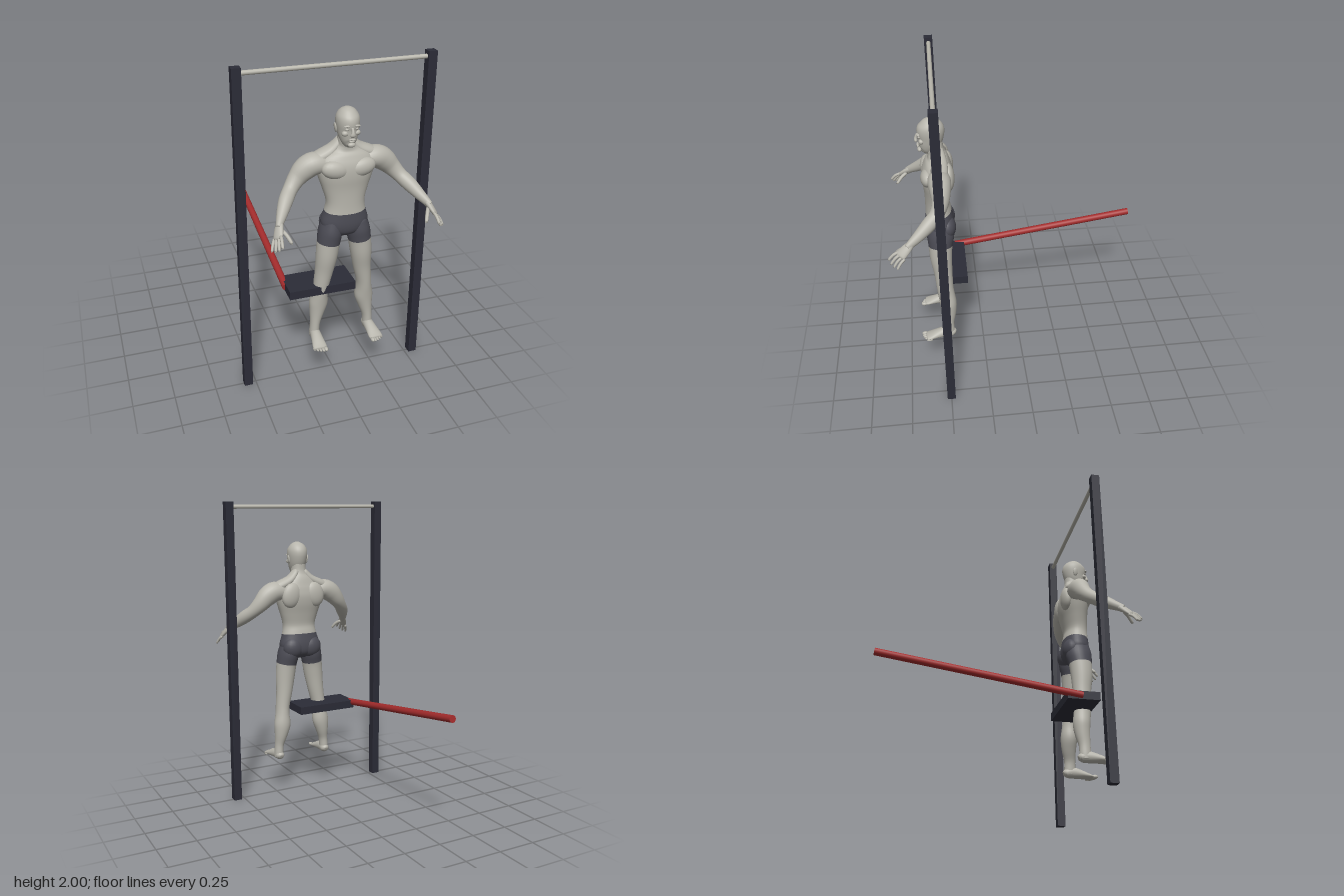
import * as THREE from 'three';

const material = (name, color) => {
  const m = new THREE.MeshStandardMaterial({ color });
  m.name = name;
  return m;
};
const skin = material('skin', 0xb7b5ac);
const shorts = material('shorts', 0x4c4c55);
const frame = material('frame', 0x2b2c37);
const steel = material('steel', 0xb8b6ac);
const red = material('red', 0xa32c2c);

function add(parent, name, geometry, mat, x = 0, y = 0, z = 0) {
  const mesh = new THREE.Mesh(geometry, mat);
  mesh.name = name;
  mesh.position.set(x, y, z);
  parent.add(mesh);
  return mesh;
}

// Smooth closed skin over oval stations [x, y, z, halfWidth, halfDepth].
// bands lists [lastStation, materialIndex] in order along the path.
function loft(stations, side, { sides = 28, steps = 4, power = 1, bands = null } = {}) {
  const path = new THREE.CatmullRomCurve3(stations.map(s => new THREE.Vector3(s[0], s[1], s[2])), false, 'catmullrom', 0.5);
  const size = new THREE.CatmullRomCurve3(stations.map(s => new THREE.Vector3(s[3], s[4], 0)), false, 'catmullrom', 0.5);
  const rows = (stations.length - 1) * steps;
  const pos = [], index = [];
  const soft = v => Math.sign(v) * Math.pow(Math.abs(v), power);
  const ring = (t, scale) => {
    const c = path.getPoint(t), r = size.getPoint(t), tangent = path.getTangent(t);
    const u = side.clone().addScaledVector(tangent, -side.dot(tangent)).normalize();
    const v = tangent.clone().cross(u);
    for (let j = 0; j < sides; j++) {
      const a = j / sides * Math.PI * 2;
      const p = c.clone().addScaledVector(u, soft(Math.cos(a)) * r.x * scale)
        .addScaledVector(v, soft(Math.sin(a)) * r.y * scale);
      pos.push(p.x, p.y, p.z);
    }
  };
  ring(0, 0.001);
  for (let i = 0; i <= rows; i++) ring(i / rows, 1);
  ring(1, 0.001);
  for (let i = 0; i < rows + 2; i++) for (let j = 0; j < sides; j++) {
    const k = (j + 1) % sides, a = i * sides + j, b = i * sides + k;
    index.push(a, b, a + sides, b, b + sides, a + sides);
  }
  const g = new THREE.BufferGeometry();
  g.setAttribute('position', new THREE.Float32BufferAttribute(pos, 3));
  g.setIndex(index);
  if (bands) {
    let start = 0;
    bands.forEach(([last, mat], n) => {
      const end = n === bands.length - 1 ? index.length : (last * steps + 1) * sides * 6;
      g.addGroup(start, end - start, mat);
      start = end;
    });
  }
  g.computeVertexNormals();
  return g;
}

const X = new THREE.Vector3(1, 0, 0);
// Upright sections [y, halfWidth, frontZ, backZ] turned into loft stations
const upright = list => list.map(([y, w, f, b]) => [0, y, (f + b) / 2, w, (f - b) / 2]);

function blob(parent, name, mat, x, y, z, rx, ry, rz, tilt = 0) {
  const mesh = add(parent, name, new THREE.SphereGeometry(1, 20, 14), mat, x, y, z);
  mesh.scale.set(rx, ry, rz);
  mesh.rotation.z = tilt;
}

function buildHead(body) {
  const head = new THREE.Group();
  head.name = 'head';
  body.add(head);
  add(head, 'skull', loft(upright([
    [1.523, .018, .59, .55], [1.54, .038, .6, .51], [1.57, .052, .602, .475], [1.61, .061, .6, .45],
    [1.655, .066, .602, .44], [1.69, .061, .592, .447], [1.72, .04, .565, .475], [1.735, .012, .535, .505],
  ]), X), skin);
  add(head, 'nose', loft([[0, 1.638, .6, .007, .006], [0, 1.615, .608, .009, .009], [0, 1.597, .609, .016, .011], [0, 1.59, .602, .011, .006]], X, { sides: 14 }), skin);
  blob(head, 'upperLip', skin, 0, 1.571, .6, .021, .005, .008);
  blob(head, 'lowerLip', skin, 0, 1.561, .599, .018, .006, .008);
  blob(head, 'chin', skin, 0, 1.537, .591, .022, .014, .014);
  for (const s of [-1, 1]) {
    blob(head, 'brow', skin, s * .026, 1.647, .592, .024, .006, .01, s * -.1);
    blob(head, 'eye', skin, s * .027, 1.629, .588, .012, .006, .01);
    blob(head, 'cheek', skin, s * .034, 1.602, .578, .02, .016, .016);
    blob(head, 'ear', skin, s * .067, 1.62, .512, .007, .029, .016, s * -.15);
  }
}

function buildTorso(body) {
  add(body, 'torso', loft(upright([
    [.95, .04, .53, .46], [.985, .11, .573, .42], [1.04, .142, .588, .412], [1.116, .122, .586, .425],
    [1.18, .115, .583, .437], [1.26, .137, .585, .425], [1.33, .16, .592, .41], [1.39, .172, .59, .405],
    [1.44, .155, .573, .413], [1.48, .1, .555, .427], [1.515, .056, .55, .445], [1.55, .049, .558, .453], [1.6, .046, .56, .455],
  ]), X, { sides: 40, power: .9, bands: [[3, 0], [12, 1]] }), [shorts, skin]);
  for (const s of [-1, 1]) {
    blob(body, 'chestMuscle', skin, s * .077, 1.385, .556, .085, .055, .044, s * .2);
    blob(body, 'shoulderBlade', skin, s * .085, 1.385, .434, .068, .085, .036, s * .25);
    blob(body, 'buttock', shorts, s * .065, 1.025, .46, .074, .075, .056);
    add(body, 'neckMuscle', loft([[s * .025, 1.545, .485, .02, .03], [s * .075, 1.487, .482, .03, .045], [s * .14, 1.452, .485, .035, .05], [s * .2, 1.43, .487, .03, .04]],
      new THREE.Vector3(0, 1, 0), { sides: 20 }), skin);
  }
}

function buildArm(body, s) {
  const arm = new THREE.Group();
  arm.name = s > 0 ? 'leftArm' : 'rightArm';
  body.add(arm);
  add(arm, 'armSkin', loft([
    [.11, 1.4, .49, .055, .06], [.18, 1.412, .49, .066, .068], [.235, 1.385, .488, .067, .062], [.285, 1.335, .492, .054, .05],
    [.33, 1.285, .518, .043, .042], [.37, 1.244, .566, .043, .041], [.408, 1.2, .624, .034, .032], [.438, 1.165, .675, .025, .021],
    [.446, 1.152, .69, .024, .018],
  ].map(([x, ...r]) => [s * x, ...r]), new THREE.Vector3(0, 1, 0)), skin);

  // Palm spread along the knuckle line
  const across = new THREE.Vector3(s * .03, -.025, -.03).normalize();
  add(arm, 'palm', loft([
    [s * .436, 1.168, .671, .022, .019], [s * .45, 1.143, .7, .03, .017], [s * .463, 1.116, .73, .032, .013], [s * .467, 1.108, .738, .026, .008],
  ], across, { sides: 20 }), skin);

  const digit = (name, a, b, r) => {
    const at = t => a.map((v, i) => v + (b[i] - v) * t);
    const bend = at(.5);
    bend[1] += .008;
    const row = (p, k) => [s * p[0], p[1], p[2], r * k, r * k];
    add(arm, name, loft([row(a, 1), row(bend, 1), row(at(.93), .85), row(b, .3)], across, { sides: 10, steps: 3 }), skin);
  };
  for (let i = 0; i < 4; i++) {
    const t = i / 3, reach = [0, .006, .004, -.004][i];
    digit('finger', [.45 + .03 * t, 1.128 - .03 * t, .744 - .033 * t],
      [.458 + .048 * t, 1.085 - .04 * t - reach, .803 - .045 * t + reach / 2], .0095 - .0012 * t);
  }
  digit('thumb', [.434, 1.14, .7], [.395, 1.085, .765], .011);
}

function buildLeg(body, s) {
  const leg = new THREE.Group();
  leg.name = s > 0 ? 'leftLeg' : 'rightLeg';
  body.add(leg);
  add(leg, 'legSkin', loft([
    [.072, 1.05, .5, .06, .075], [.085, .98, .502, .07, .084], [.097, .91, .507, .068, .074], [.108, .82, .508, .064, .068],
    [.12, .72, .501, .055, .058], [.136, .62, .496, .047, .053], [.142, .56, .49, .048, .053], [.147, .49, .481, .057, .053],
    [.158, .42, .481, .045, .046], [.17, .35, .487, .031, .036], [.175, .29, .487, .03, .036], [.176, .255, .487, .03, .035],
  ].map(([x, ...r]) => [s * x, ...r]), X, { bands: [[2, 0], [11, 1]] }), [shorts, skin]);
  add(leg, 'foot', loft([
    [.174, .262, .447, .014, .014], [.174, .269, .462, .028, .028], [.175, .276, .505, .032, .036],
    [.178, .268, .56, .037, .028], [.181, .257, .61, .043, .017], [.182, .252, .635, .04, .012],
  ].map(([x, ...r]) => [s * x, ...r]), X, { sides: 24 }), skin);
  for (let i = 0; i < 5; i++) {
    const r = i === 0 ? .0125 : .0095 - .0007 * i;
    blob(leg, 'toe', skin, s * (.152 + .0165 * i), .24 + r, .645 - .0018 * i * i, r, r, .02);
  }
}

export function createModel() {
  const model = new THREE.Group();
  model.name = 'exerciseStation';

  // Pull-up frame
  for (const s of [-1, 1]) add(model, 'post', new THREE.BoxGeometry(.052, 2, .052), frame, s * .549, 1, .5);
  const bar = add(model, 'pullUpBar', new THREE.CylinderGeometry(.013, .013, 1.06, 24), steel, 0, 1.967, .5);
  bar.rotation.z = Math.PI / 2;

  // Step board and its slanted lever
  add(model, 'board', new THREE.BoxGeometry(.412, .052, .2), frame, -.079, .603, .446);
  const a = new THREE.Vector3(-.28, .603, .438), b = new THREE.Vector3(-.28, .784, -.797);
  const lever = add(model, 'lever', new THREE.CylinderGeometry(.022, .022, a.distanceTo(b), 24), red);
  lever.position.copy(a).add(b).multiplyScalar(.5);
  lever.quaternion.setFromUnitVectors(new THREE.Vector3(0, 1, 0), b.clone().sub(a).normalize());

  // Standing figure
  const body = new THREE.Group();
  body.name = 'figure';
  body.position.x = .06;
  model.add(body);
  buildHead(body);
  buildTorso(body);
  for (const s of [-1, 1]) {
    buildArm(body, s);
    buildLeg(body, s);
  }
  return model;
}
